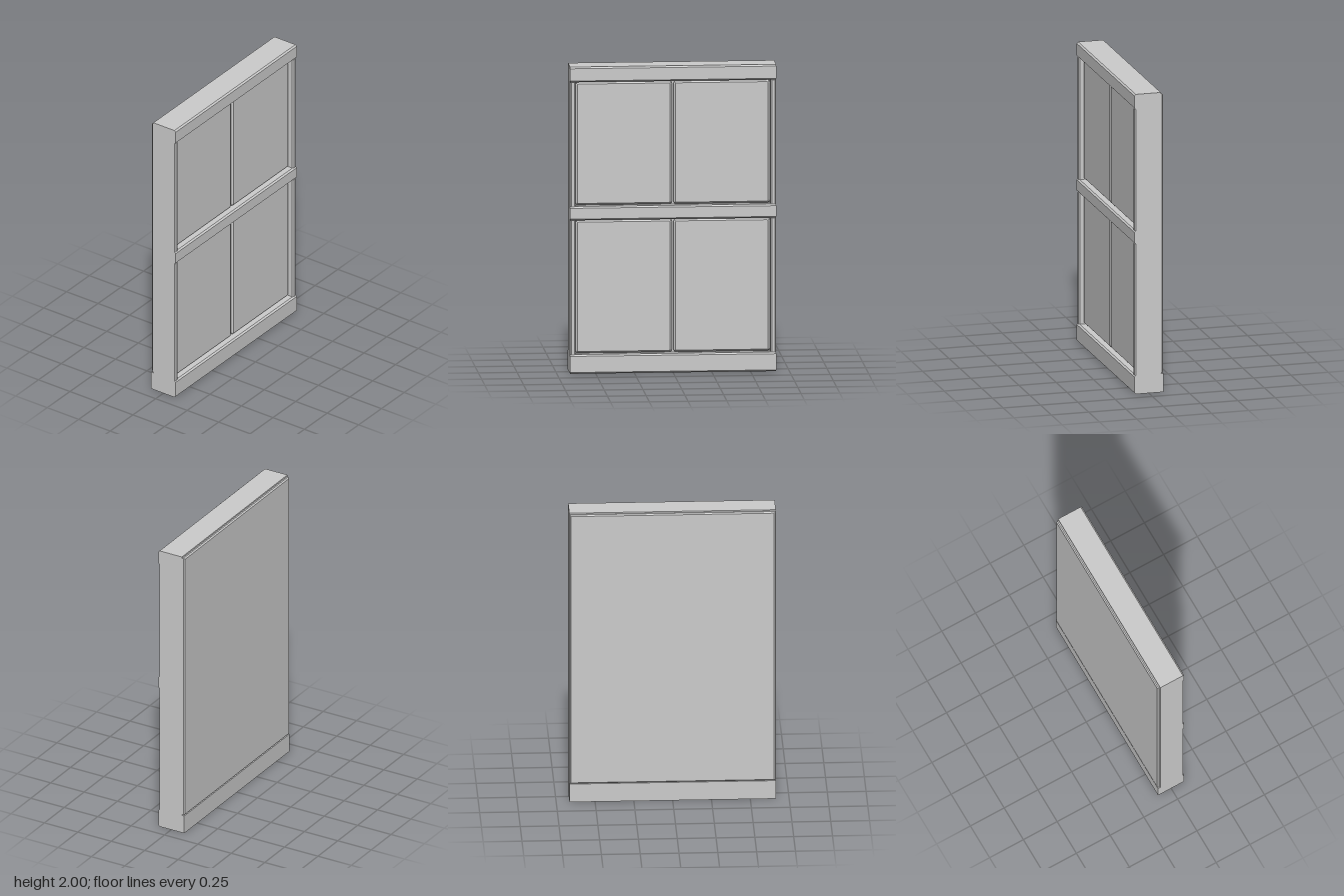
import * as THREE from 'three';

const W = 0.665; // half width

export function createModel() {
  const model = new THREE.Group();
  model.name = 'wallPanel';
  const grey = new THREE.MeshStandardMaterial({ color: 0xcccccc });
  grey.name = 'plain grey';

  function add(name, geometry, x = 0, y = 0, z = 0) {
    const mesh = new THREE.Mesh(geometry, grey);
    mesh.name = name;
    mesh.position.set(x, y, z);
    model.add(mesh);
    return mesh;
  }

  // Cross-section with its two front corners chamfered; u is depth, v is height or width
  function barShape(back, front, v0, v1, c) {
    return new THREE.Shape([
      [back, v0], [front - c, v0], [front, v0 + c],
      [front, v1 - c], [front - c, v1], [back, v1],
    ].map(([u, v]) => new THREE.Vector2(u, v)));
  }

  // Full-width rails, profile swept along x
  function rail(name, back, front, y0, y1) {
    const geo = new THREE.ExtrudeGeometry(barShape(back, front, y0, y1, 0.01),
      { depth: 2 * W, bevelEnabled: false });
    geo.translate(0, 0, -W);
    geo.rotateY(-Math.PI / 2);
    add(name, geo);
  }

  // Plate with chamfered edges; w and h are the outer sizes, r rounds the corners
  function plate(w, h, depth, c, r) {
    const a = w / 2 - c, b = h / 2 - c;
    const s = new THREE.Shape();
    s.moveTo(-a + r, -b);
    s.lineTo(a - r, -b);
    s.quadraticCurveTo(a, -b, a, -b + r);
    s.lineTo(a, b - r);
    s.quadraticCurveTo(a, b, a - r, b);
    s.lineTo(-a + r, b);
    s.quadraticCurveTo(-a, b, -a, b - r);
    s.lineTo(-a, -b + r);
    s.quadraticCurveTo(-a, -b, -a + r, -b);
    const geo = new THREE.ExtrudeGeometry(s, {
      depth, bevelEnabled: true, bevelSize: c, bevelThickness: c, bevelSegments: 1, curveSegments: 2,
    });
    return geo;
  }

  // Core slab
  add('core', new THREE.BoxGeometry(2 * W, 1.9, 0.12), 0, 1.05, -0.02);

  // Rails
  rail('bottomRail', -0.097, 0.097, 0, 0.125);
  rail('middleRail', 0.03, 0.097, 1.0, 1.09);
  rail('topRail', -0.08, 0.097, 1.9, 2.0);

  // Side posts and raised pads, two bays high
  const bays = [[0.125, 1.0], [1.09, 1.9]];
  for (const [y0, y1] of bays) {
    for (const side of [-1, 1]) {
      const post = new THREE.ExtrudeGeometry(barShape(0.03, 0.094, -0.0175, 0.0175, 0.008),
        { depth: y1 - y0, bevelEnabled: false });
      // depth -> z, width -> x, length -> y
      post.applyMatrix4(new THREE.Matrix4().makeBasis(
        new THREE.Vector3(0, 0, 1), new THREE.Vector3(1, 0, 0), new THREE.Vector3(0, 1, 0)));
      add('sidePost', post, side * (W - 0.0175), y0, 0);

      add('raisedPad', plate(0.623, y1 - y0 - 0.008, 0.002, 0.012, 0.008),
        side * 0.3165, (y0 + y1) / 2, 0.05);
    }
  }

  // Back panel
  add('backPanel', plate(2 * W - 0.006, 1.865, 0.014, 0.008, 0.001), 0, 1.058, -0.089);

  return model;
}
